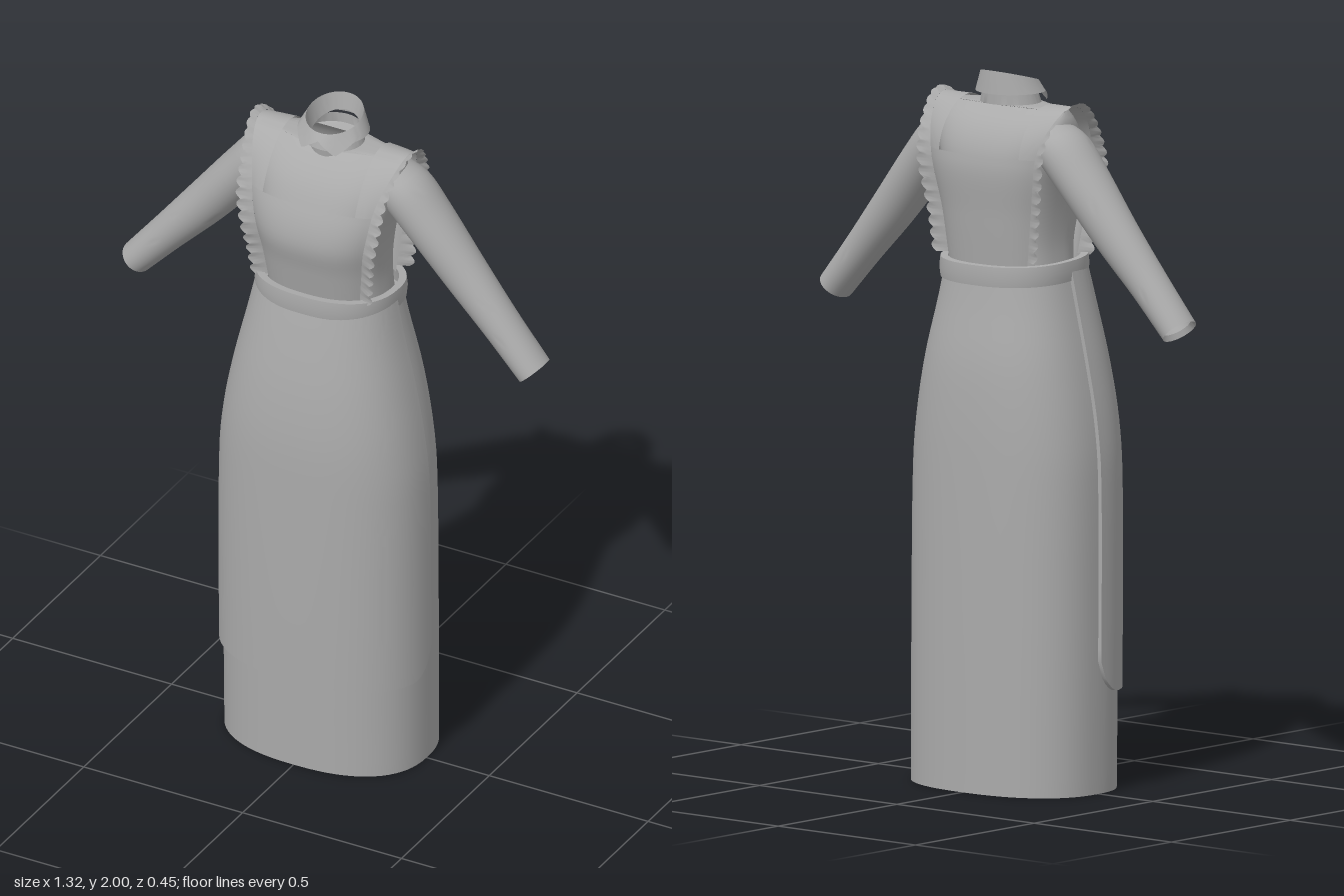
import * as THREE from 'three';
import { toCreasedNormals } from 'three/addons/utils/BufferGeometryUtils.js';

const cloth = new THREE.MeshStandardMaterial({ color: 0xaaaaaa, side: THREE.DoubleSide });
cloth.name = 'grey cloth';

const lerp = THREE.MathUtils.lerp;

// Smooth interpolation of table rows [key, a, b, ...]
function sample(rows, k) {
  const n = rows.length - 1;
  let i = 0;
  while (i < n - 1 && k > rows[i + 1][0]) i++;
  const h = rows[i + 1][0] - rows[i][0];
  const t = THREE.MathUtils.clamp((k - rows[i][0]) / h, 0, 1);
  const slope = (j, c) => {
    const a = rows[Math.max(j - 1, 0)], b = rows[Math.min(j + 1, n)];
    return (b[c] - a[c]) / (b[0] - a[0]);
  };
  return rows[0].slice(1).map((_, q) => {
    const c = q + 1, t2 = t * t, t3 = t2 * t;
    return (2 * t3 - 3 * t2 + 1) * rows[i][c] + (t3 - 2 * t2 + t) * h * slope(i, c)
      + (3 * t2 - 2 * t3) * rows[i + 1][c] + (t3 - t2) * h * slope(i + 1, c);
  });
}

// Surface through fn(i, j) => [x, y, z]; closed wraps around in i
function sheet(name, nu, nv, fn, closed = false) {
  const pos = [], index = [], cols = closed ? nu : nu + 1;
  for (let j = 0; j <= nv; j++) for (let i = 0; i < cols; i++) pos.push(...fn(i, j));
  for (let j = 0; j < nv; j++) for (let i = 0; i < nu; i++) {
    const a = j * cols + i, b = j * cols + (i + 1) % cols;
    index.push(a, a + cols, b, b, a + cols, b + cols);
  }
  const geo = new THREE.BufferGeometry();
  geo.setAttribute('position', new THREE.Float32BufferAttribute(pos, 3));
  geo.setIndex(index);
  const mesh = new THREE.Mesh(toCreasedNormals(geo, 0.8), cloth);
  mesh.name = name;
  return mesh;
}

// Rounded-oval cross-section point; angle 0 is +x, PI/2 is the front
function oval(angle, y, [hw, front, back], off = 0, n = 2.4) {
  const c = Math.cos(angle), s = Math.sin(angle), p = 2 / n;
  const mid = (front + back) / 2, depth = (front - back) / 2 + off;
  return [Math.sign(c) * Math.abs(c) ** p * (hw + off), y, mid + Math.sign(s) * Math.abs(s) ** p * depth];
}

// [y, half width, front z, back z]
const skirtRows = [
  [0, 0.303, 0.21, -0.225], [0.5, 0.304, 0.216, -0.222], [0.9, 0.3, 0.217, -0.218], [1.05, 0.284, 0.214, -0.214],
  [1.2, 0.255, 0.199, -0.203], [1.35, 0.219, 0.173, -0.177], [1.46, 0.195, 0.15, -0.16],
];
const bodiceRows = [
  [1.44, 0.17, 0.12, -0.14], [1.52, 0.163, 0.128, -0.145], [1.6, 0.168, 0.147, -0.155], [1.68, 0.182, 0.155, -0.163],
  [1.76, 0.203, 0.13, -0.163], [1.82, 0.216, 0.1, -0.145], [1.87, 0.218, 0.058, -0.11], [1.9, 0.205, 0.02, -0.07],
];

// Bib path from front waist over the shoulder to back waist (y, z)
const arch = new THREE.CatmullRomCurve3([
  [1.46, 0.128], [1.56, 0.148], [1.65, 0.166], [1.75, 0.143], [1.85, 0.082], [1.9, 0.02], [1.912, -0.03],
  [1.895, -0.085], [1.83, -0.147], [1.75, -0.173], [1.6, -0.163], [1.46, -0.15],
].map(([y, z]) => new THREE.Vector3(0, y, z)));
// [y, half width of bib, width over which it curves back]
const bibRows = [
  [1.46, 0.142, 0.18], [1.6, 0.16, 0.2], [1.7, 0.178, 0.23], [1.8, 0.196, 0.27], [1.92, 0.235, 0.32],
];
function bibPoint(x, t) {
  const p = arch.getPointAt(t), zc = -0.015;
  const f = (1 - Math.min(1, Math.abs(x) / sample(bibRows, p.y)[1]) ** 2.6) ** (1 / 2.6);
  return [x, p.y, zc + (p.z - zc) * f];
}
const bibEdge = (t) => sample(bibRows, arch.getPointAt(t).y)[0];
function findT(y, from, to) {
  for (let i = 0; i <= 400; i++) {
    const t = lerp(from, to, i / 400);
    if (arch.getPointAt(t).y >= y) return t;
  }
  return to;
}

export function createModel() {
  const model = new THREE.Group();
  model.name = 'dressWithApron';
  const TAU = Math.PI * 2;

  // Long skirt with a thin turned-in hem
  model.add(sheet('skirt', 72, 31, (i, j) => {
    const y = j < 2 ? 0.02 * (1 - j) : 1.46 * (j - 1) / 30;
    return oval(i / 72 * TAU, y, sample(skirtRows, y), j === 0 ? -0.008 : 0);
  }, true));

  // Apron skirt over the front half with rounded lower corners and a visible edge
  const U = 64, V = 34, corner = 0.09;
  model.add(sheet('apronSkirt', U, V, (i, j) => {
    const k = THREE.MathUtils.clamp(i - 1, 0, U - 2) / (U - 2);
    const s = Math.min(corner, Math.min(k, 1 - k) * 0.9);
    const bottom = 0.28 + corner - Math.sqrt(corner ** 2 - (corner - s) ** 2);
    const y = lerp(bottom, 1.45, Math.max(0, j - 1) / (V - 1));
    const border = i === 0 || i === U || j === 0;
    return oval(k * Math.PI, y, sample(skirtRows, y), border ? 0 : 0.012);
  }));

  // Waistband, slightly lower at the back
  const band = [[-0.02, -0.028], [0, -0.028], [0.003, 0], [0, 0.028], [-0.02, 0.028]];
  model.add(sheet('waistband', 72, 4, (i, j) => {
    const p = oval(i / 72 * TAU, 0, [0.207, 0.168, -0.178], band[j][0]);
    return [p[0], 1.45 + band[j][1] + p[2] * 0.07, p[2]];
  }, true));

  // Bodice closing over the shoulders into the neck opening
  const neck = [[1.905, [0.088, 0.06, -0.1]], [1.935, [0.078, 0.052, -0.1]]];
  model.add(sheet('bodice', 64, 26, (i, j) => {
    const a = i / 64 * TAU;
    if (j > 24) return oval(a, neck[j - 25][0], neck[j - 25][1], 0, 2);
    const y = lerp(1.44, 1.9, j / 24);
    return oval(a, y, sample(bodiceRows, y), 0, 2.7);
  }, true));

  // Apron bib: front and back panels joined by shoulder straps
  const neckFront = findT(1.76, 0, 0.5), neckBack = findT(1.77, 1, 0.5);
  const panel = (name, t0, t1) => model.add(sheet(name, 32, 16, (i, j) => {
    const t = lerp(t0, t1, j / 16), w = bibEdge(t);
    return bibPoint(lerp(-w, w, i / 32), t);
  }));
  panel('bibFront', 0, neckFront);
  panel('bibBack', neckBack, 1);

  for (const side of [1, -1]) {
    const label = side > 0 ? 'left' : 'right';
    model.add(sheet(label + 'Strap', 6, 32, (i, j) => {
      const t = lerp(neckFront, neckBack, j / 32);
      return bibPoint(side * lerp(0.145, bibEdge(t), i / 6), t);
    }));

    // Scalloped frill along the outer edge of the bib
    const scallops = 30, steps = scallops * 8;
    model.add(sheet(label + 'Frill', 3, steps, (i, j) => {
      const t = lerp(0.02, 0.98, j / steps);
      const p = bibPoint(side * bibEdge(t), t);
      const tan = arch.getTangentAt(t);
      const top = THREE.MathUtils.smoothstep(p[1], 1.72, 1.9);
      const width = lerp(0.046, 0.022, top) * (0.7 + 0.3 * Math.abs(Math.sin(j / 8 * Math.PI)));
      const k = i / 3, lift = k * lerp(0.014, 0.012, top);
      return [p[0] + side * width * k, p[1] - tan.z * lift, p[2] + tan.y * lift];
    }));

    // Tapered sleeve with a turned-in cuff: [centre x, y, z, radius in front plane, radius in depth]
    const sleeveRows = [
      [0, 0.16, 1.83, -0.04, 0.06, 0.075], [0.12, 0.215, 1.79, -0.042, 0.07, 0.086],
      [0.3, 0.285, 1.713, -0.042, 0.069, 0.081], [0.55, 0.405, 1.572, -0.04, 0.064, 0.066],
      [0.8, 0.52, 1.445, -0.035, 0.054, 0.058], [1, 0.625, 1.328, -0.032, 0.047, 0.057],
    ];
    model.add(sheet(label + 'Sleeve', 32, 26, (i, j) => {
      const a = i / 32 * TAU, inset = j === 26 ? 0.008 : 0;
      const [x, y, z, r, rz] = sample(sleeveRows, j === 26 ? 0.98 : j / 25);
      const c = Math.cos(a) * (r - inset), d = Math.sin(a) * (rz - inset);
      return [side * (x + 0.74 * c), y + 0.67 * c, z + d];
    }, true));

    // Half of the folded collar, with a point at the front
    model.add(sheet(label + 'Collar', 28, 6, (i, j) => {
      const u = i / 28, a = u * Math.PI, front = (1 + Math.cos(a)) / 2;
      const point = Math.max(0, 1 - Math.abs(u - 0.17) / 0.17);
      const inner = [Math.sin(a) * 0.07, lerp(1.99, 1.915, front) - 0.04, -0.025 + Math.cos(a) * 0.072];
      const rim = [Math.sin(a) * 0.08, lerp(2, 1.957, front), -0.025 + Math.cos(a) * 0.082];
      const hem = [Math.sin(a) * 0.102, lerp(1.935, 1.938, front) - 0.035 * point, -0.02 + Math.cos(a) * 0.092 + 0.012 * point];
      const [p, q, k] = j < 2 ? [inner, rim, j / 2] : [rim, hem, (j - 2) / 4];
      return [side * lerp(p[0], q[0], k), lerp(p[1], q[1], k), lerp(p[2], q[2], k)];
    }));
  }
  return model;
}
